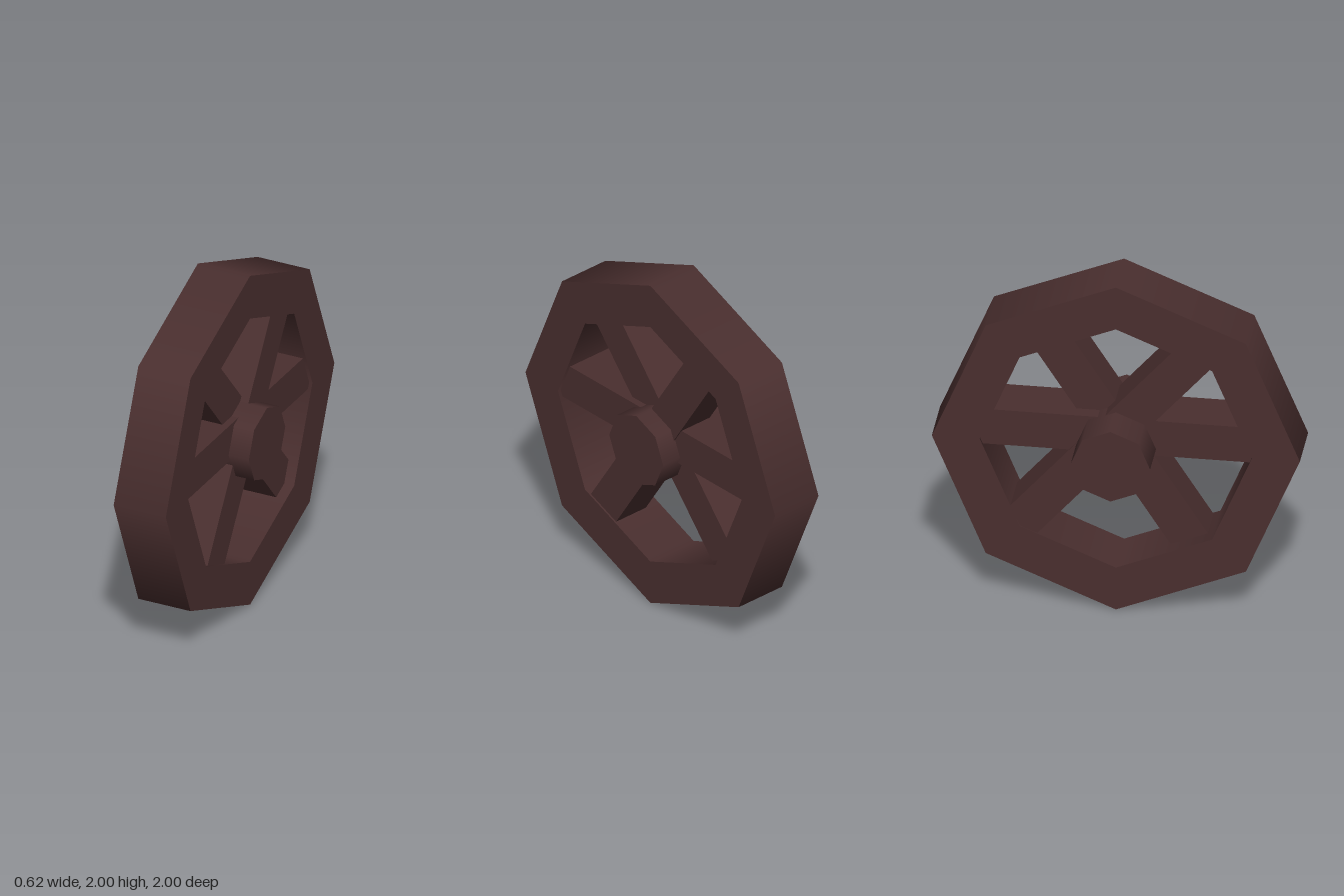
import * as THREE from 'three';
import { mergeGeometries } from 'three/addons/utils/BufferGeometryUtils.js';

const SIDES = 8;

// Ring around the x axis: one lathe per profile edge keeps the rims' edges sharp
function ringGeometry(inner, outer, x0, x1) {
  const profile = [[outer, x0], [outer, x1], [inner, x1], [inner, x0]]
    .map(([r, x]) => new THREE.Vector2(r, x));
  const strips = profile.map((p, i) =>
    new THREE.LatheGeometry([p, profile[(i + 1) % 4]], SIDES));
  return mergeGeometries(strips).rotateZ(-Math.PI / 2);
}

export function createModel() {
  const wood = new THREE.MeshStandardMaterial({ color: 0x4a2f2f });
  wood.name = 'dark brown wood';

  const wheel = new THREE.Group();
  wheel.name = 'wheel';
  const add = (name, geometry) => {
    const mesh = new THREE.Mesh(geometry, wood);
    mesh.name = name;
    wheel.add(mesh);
    return mesh;
  };

  // Octagonal rim
  add('rim', ringGeometry(0.74, 1, -0.105, 0.21)).position.y = 1;

  // Hub, sticking out on both sides
  const hub = new THREE.CylinderGeometry(0.216, 0.216, 0.625, SIDES).rotateZ(-Math.PI / 2);
  add('hub', hub).position.set(0, 1.005, 0);

  // Three crossing bars, each slightly off centre: [angle, centre y, centre z, x from, x to]
  const bars = [
    [0, 1.072, 0, -0.09, 0.19],
    [-49.3, 1.042, -0.049, -0.1, 0.15],
    [57.4, 1.007, 0.01, -0.015, 0.2],
  ];
  bars.forEach(([angle, y, z, x0, x1], i) => {
    const bar = add('spokeBar' + (i + 1), new THREE.BoxGeometry(x1 - x0, 0.215, 1.5));
    bar.position.set((x0 + x1) / 2, y, z);
    bar.rotation.x = THREE.MathUtils.degToRad(angle);
  });

  return wheel;
}
